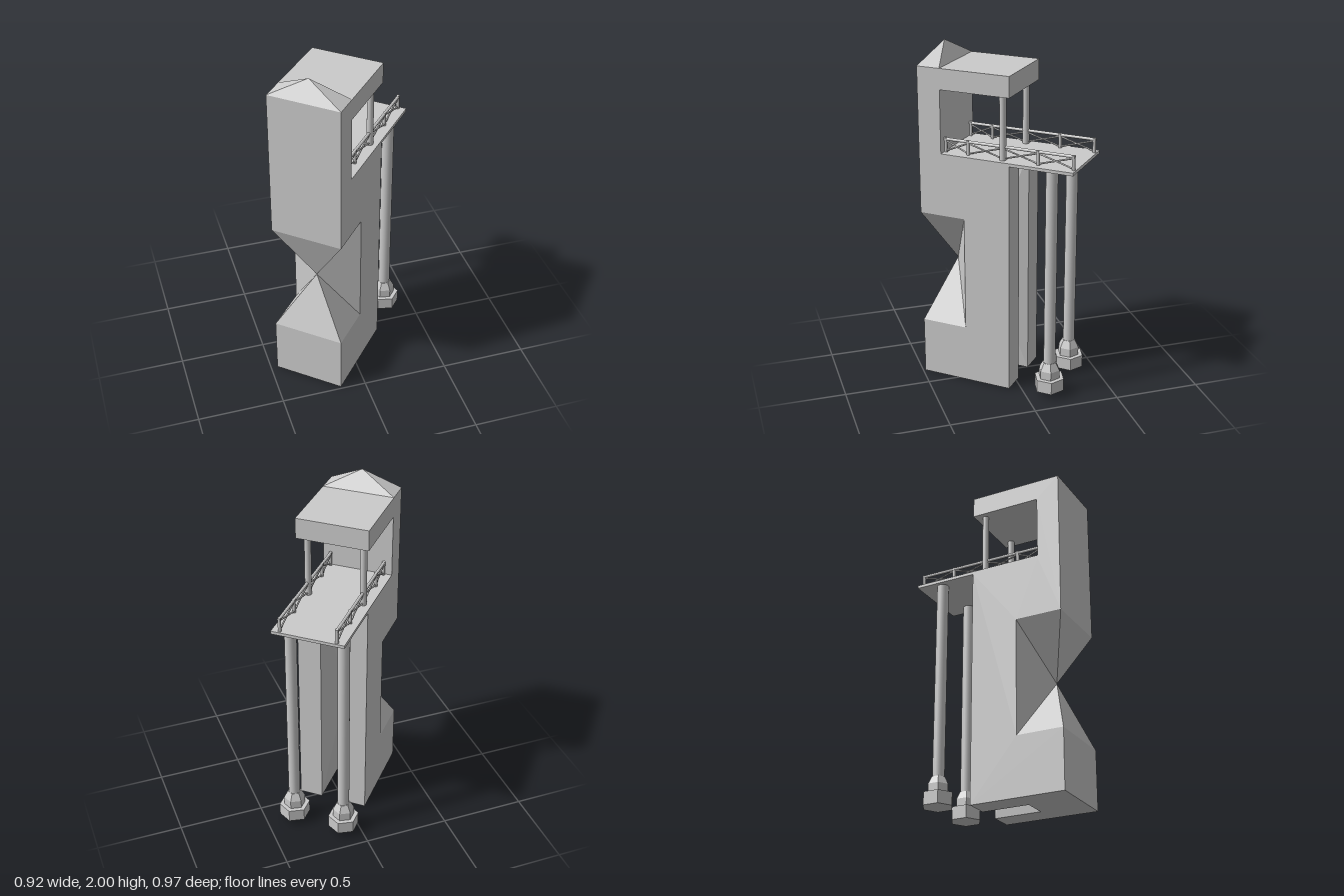
import * as THREE from 'three';

const LEN = 0.925, H = 0.209, N = 0.07;      // overall depth, half width, half slot width
const DECK = 1.385, ROOF = 1.89, WALL = 0.137, BACK = 0.553, CUT = 0.275;
const mat = new THREE.MeshStandardMaterial({ color: 0xcccccc, flatShading: true, side: THREE.DoubleSide });
const smooth = new THREE.MeshStandardMaterial({ color: 0xcccccc });

// Points are [across, height, distance back from the front]
const toVec = ([w, y, t]) => new THREE.Vector3(w, y, LEN / 2 - t);

function add(parent, name, geo, material = mat) {
  const m = new THREE.Mesh(geo, material);
  m.name = name;
  parent.add(m);
  return m;
}

// Fan-triangulated flat polygons; mirrored ones are repeated on the other side
function facets(centre, mirrored) {
  const flip = f => f.map(([w, y, t]) => [-w, y, t]).reverse();
  const pos = [];
  for (const f of [...centre, ...mirrored, ...mirrored.map(flip)])
    for (let i = 1; i < f.length - 1; i++)
      for (const p of [f[0], f[i], f[i + 1]]) pos.push(...toVec(p).toArray());
  const g = new THREE.BufferGeometry();
  g.setAttribute('position', new THREE.Float32BufferAttribute(pos, 3));
  g.computeVertexNormals();
  return g;
}

// Round bar between two points
function bar(parent, name, a, b, r, sides = 8) {
  const p = toVec(a), q = toVec(b), d = q.clone().sub(p);
  const m = add(parent, name, new THREE.CylinderGeometry(r, r, d.length(), sides), smooth);
  m.position.copy(p).add(q).multiplyScalar(0.5);
  m.quaternion.setFromUnitVectors(new THREE.Vector3(0, 1, 0), d.normalize());
}

function tower() {
  const g = new THREE.Group();
  g.name = 'tower';
  const lo = 0.345, hi = 1.03;
  const aF = [0, 0.69, 0.13], aB = [0, 0.69, 0.313], top = [0, 2, WALL / 2];

  // Flat side walls with the window and the front pinch cut out
  const outline = [[0, 0], [BACK, 0], [BACK, DECK], [WALL, DECK], [WALL, 1.77], [BACK, 1.77],
    [BACK, ROOF], [0, ROOF], [0, hi], [CUT, hi], [CUT, lo], [0, lo]];
  for (const s of [1, -1]) {
    const shape = new THREE.Shape(outline.map(([t, y]) => new THREE.Vector2(s * (t - LEN / 2), y)));
    const geo = new THREE.ShapeGeometry(shape).rotateY(s * Math.PI / 2).translate(s * H, 0, 0);
    add(g, s > 0 ? 'leftWall' : 'rightWall', geo);
  }

  // Front, roof and window walls
  add(g, 'walls', facets([
    [[-H, 0, 0], [H, 0, 0], [H, lo, 0], [-H, lo, 0]],
    [[-H, hi, 0], [H, hi, 0], [H, ROOF, 0], [-H, ROOF, 0]],
    [[-H, ROOF, WALL], [H, ROOF, WALL], [H, ROOF, BACK], [-H, ROOF, BACK]],
    [[H, 1.77, BACK], [-H, 1.77, BACK], [-H, ROOF, BACK], [H, ROOF, BACK]],
    [[-H, 1.77, BACK], [H, 1.77, BACK], [H, 1.77, WALL], [-H, 1.77, WALL]],
    [[H, DECK, WALL], [-H, DECK, WALL], [-H, 1.77, WALL], [H, 1.77, WALL]],
    [[-H, 0, CUT], [H, 0, CUT], [H, 0, 0], [-H, 0, 0]],
  ], [
    [[H, 0, BACK], [N, 0, BACK], [N, DECK, BACK], [H, DECK, BACK]],
    [[N, 0, BACK], [H, 0, BACK], [H, 0, CUT], [N, 0, CUT]],
  ]));

  // Front waist pinched to a point
  add(g, 'frontPinch', facets([
    [[-H, lo, 0], [H, lo, 0], aF],
    [[H, hi, 0], [-H, hi, 0], aF],
  ], [
    [[H, lo, 0], [H, lo, CUT], aF],
    [[H, hi, CUT], [H, hi, 0], aF],
    [[H, lo, CUT], [H, hi, CUT], aF],
  ]));

  // Rear slot pinched to a point
  add(g, 'rearSlot', facets([
    [[N, DECK, CUT], aB, [-N, DECK, CUT]],
    [[N, 0, CUT], [-N, 0, CUT], aB],
  ], [
    [[N, 0, BACK], aB, [N, DECK, BACK]],
    [[N, DECK, BACK], aB, [N, DECK, CUT]],
    [[N, 0, BACK], [N, 0, CUT], aB],
  ]));

  // Pyramid cap over the front wall
  add(g, 'pyramidCap', facets([
    [[-H, ROOF, 0], [H, ROOF, 0], top],
    [[H, ROOF, WALL], [-H, ROOF, WALL], top],
  ], [[[H, ROOF, 0], [H, ROOF, WALL], top]]));
  return g;
}

function railing(w) {
  const g = new THREE.Group();
  g.name = 'railing';
  const posts = [0.147, 0.285, 0.495, 0.705, 0.91];
  bar(g, 'handrail', [w, 1.477, WALL], [w, 1.477, 0.918], 0.009);
  posts.forEach((t, i) => {
    bar(g, 'railPost', [w, 1.4, t], [w, 1.485, t], 0.01);
    if (!i) return;
    const s = posts[i - 1];
    bar(g, 'brace', [w, 1.408, s], [w, 1.468, t], 0.005, 6);
    bar(g, 'brace', [w, 1.468, s], [w, 1.408, t], 0.005, 6);
  });
  return g;
}

function leg(w) {
  const g = new THREE.Group();
  g.name = 'leg';
  const t = 0.784;
  bar(g, 'column', [w, 0.19, t], [w, DECK, t], 0.034, 20);
  // Hexagonal footing: block, collar, taper
  for (const [name, y0, y1, r0, r1] of [['footBlock', 0.035, 0.11, 0.09, 0.09],
    ['footCollar', 0.11, 0.16, 0.063, 0.063], ['footTaper', 0.16, 0.205, 0.063, 0.04]]) {
    const m = add(g, name, new THREE.CylinderGeometry(r1, r0, y1 - y0, 6));
    m.position.copy(toVec([w, (y0 + y1) / 2, t]));
  }
  return g;
}

export function createModel() {
  const model = new THREE.Group();
  model.name = 'watchtower';
  const body = new THREE.Group();
  body.name = 'body';
  body.add(tower());

  // Deck running out of the window
  const deck = add(body, 'deck', new THREE.BoxGeometry(2 * H, 0.018, LEN - WALL));
  deck.position.set(0, DECK + 0.007, -WALL / 2);

  for (const s of [1, -1]) {
    body.add(railing(s * 0.162), leg(s * 0.155));
    bar(body, 'roofPost', [s * 0.162, 1.4, 0.495], [s * 0.162, 1.775, 0.495], 0.019, 16);
  }

  // The whole tower stands turned about its vertical axis
  body.rotation.y = -0.715;
  model.add(body);
  return model;
}
